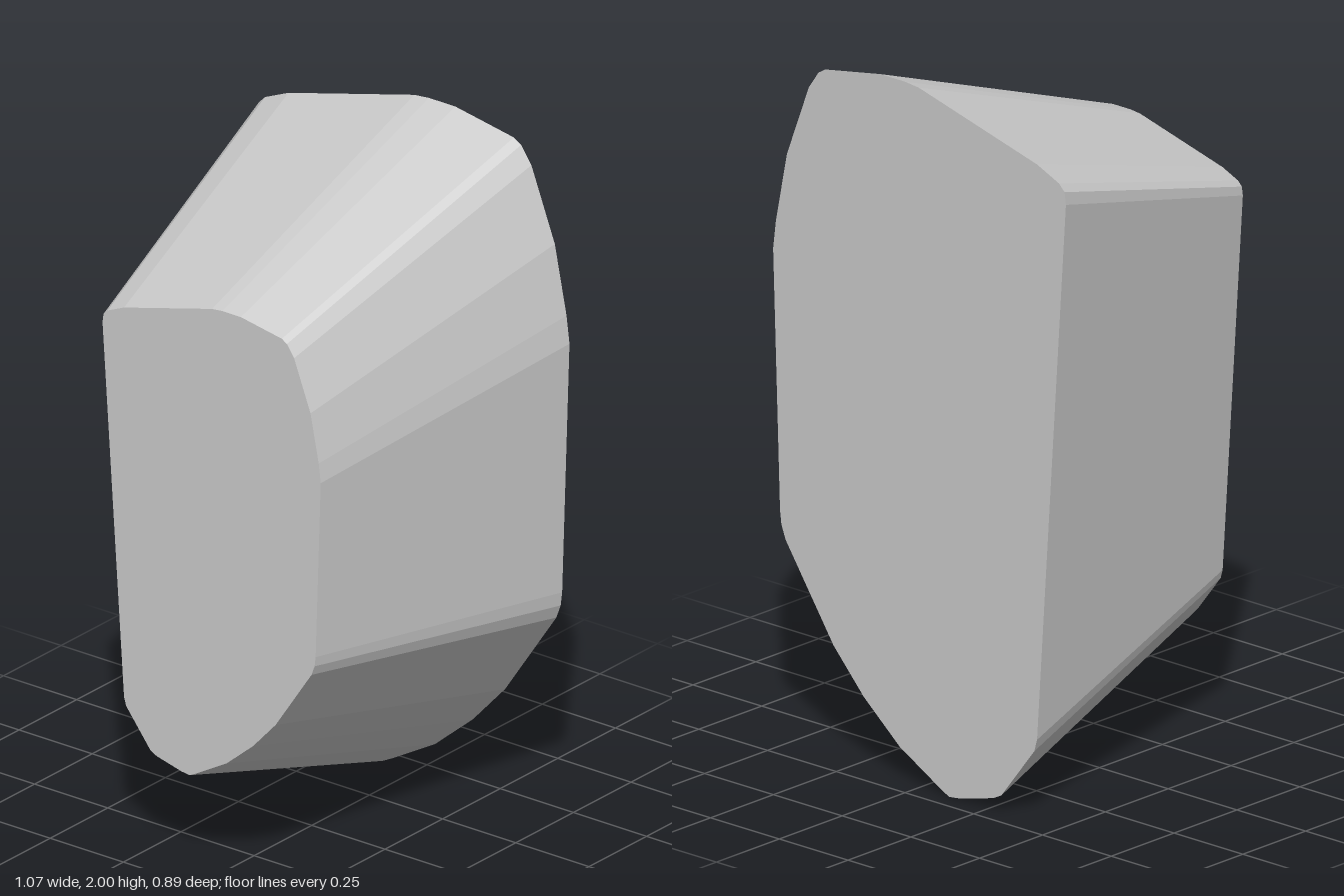
import * as THREE from 'three';

// Back outline, clockwise from the upper left corner
const OUTLINE = [
  [-0.535, 1.79], [-0.53, 1.825], [-0.51, 1.845], [-0.43, 1.88], [0.0, 1.995], [0.05, 2.0], [0.14, 2.0],
  [0.34, 1.965], [0.365, 1.95], [0.4, 1.9], [0.48, 1.69], [0.52, 1.49], [0.53, 1.41],
  [0.505, 0.67], [0.5, 0.63], [0.485, 0.59], [0.31, 0.33], [0.2, 0.21], [0.07, 0.1],
  [-0.08, 0.015], [-0.11, 0.0], [-0.15, 0.005], [-0.27, 0.035], [-0.3, 0.05],
  [-0.42, 0.205], [-0.43, 0.24],
];
const DEPTH = 0.89;
const TAPER = 0.7;

export function createModel() {
  const group = new THREE.Group();
  group.name = 'taperedBlock';

  const stone = new THREE.MeshStandardMaterial({ color: 0xcccccc });
  stone.name = 'light grey';

  const shape = new THREE.Shape(OUTLINE.map(([x, y]) => new THREE.Vector2(x, y)));
  const geometry = new THREE.ExtrudeGeometry(shape, { depth: DEPTH, bevelEnabled: false });
  geometry.translate(0, 0, -DEPTH / 2);

  // Shrink the front end so that the sides slope inwards
  const pos = geometry.attributes.position;
  for (let i = 0; i < pos.count; i++) {
    if (pos.getZ(i) > 0) {
      pos.setXY(i, pos.getX(i) * TAPER + 0.01, pos.getY(i) * TAPER + 0.288);
    }
  }
  geometry.computeVertexNormals();

  const block = new THREE.Mesh(geometry, stone);
  block.name = 'block';
  group.add(block);
  return group;
}
